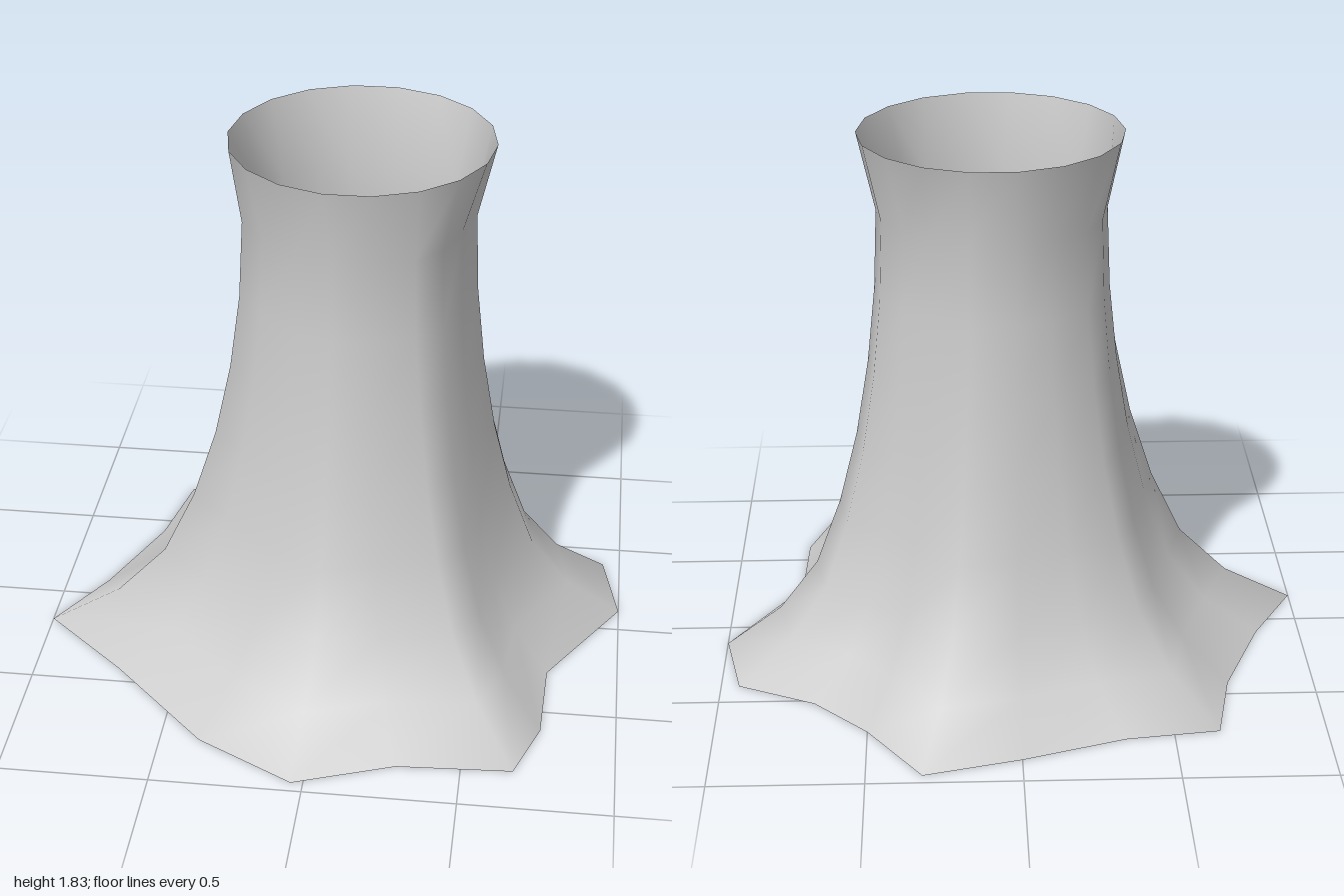
import * as THREE from 'three';

const SIDES = 18;

// Lobed foot outline and narrow throat outline, as matching x, z pairs
const FOOT = [
  [1, -0.11], [0.76, 0.28], [0.75, 0.6], [0.67, 0.82], [0.29, 0.84], [-0.04, 0.96],
  [-0.37, 0.78], [-0.71, 0.43], [-1, 0.17], [-0.85, -0.09], [-0.71, -0.43], [-0.65, -0.73],
  [-0.34, -0.77], [0, -0.88], [0.32, -0.96], [0.5, -0.7], [0.68, -0.52], [0.94, -0.4],
];
const THROAT = [
  [0.45, -0.05], [0.41, 0.08], [0.36, 0.22], [0.28, 0.3], [0.14, 0.34], [0.02, 0.35],
  [-0.1, 0.3], [-0.22, 0.19], [-0.3, 0.09], [-0.305, -0.04], [-0.28, -0.17], [-0.22, -0.29],
  [-0.1, -0.36], [0, -0.4], [0.15, -0.41], [0.28, -0.32], [0.36, -0.25], [0.43, -0.17],
];

// Height of each ring and how far it spreads from throat to foot
const RINGS = [
  [0, 1], [0.13, 0.66], [0.3, 0.42], [0.53, 0.265], [0.78, 0.15],
  [1.04, 0.07], [1.3, 0.02], [1.57, 0],
];

function loft(rings) {
  const index = [];
  for (let j = 0; j < rings.length - 1; j++) {
    for (let i = 0; i < SIDES; i++) {
      const a = j * SIDES + i;
      const b = j * SIDES + (i + 1) % SIDES;
      index.push(a, a + SIDES, b, b, a + SIDES, b + SIDES);
    }
  }
  const geometry = new THREE.BufferGeometry();
  geometry.setAttribute('position', new THREE.Float32BufferAttribute(rings.flat(2), 3));
  geometry.setIndex(index);
  geometry.computeVertexNormals();
  return geometry;
}

export function createModel() {
  const group = new THREE.Group();
  group.name = 'flaredTrunk';

  // Fluted trunk, spreading towards the foot
  const rings = RINGS.map(([y, spread]) => THROAT.map(([x, z], i) => [
    THREE.MathUtils.lerp(x, FOOT[i][0], spread),
    y,
    THREE.MathUtils.lerp(z, FOOT[i][1], spread),
  ]));

  // Round open rim at the top
  rings.push(THROAT.map((_, i) => {
    const angle = i / SIDES * Math.PI * 2;
    return [0.075 + 0.435 * Math.cos(angle), 1.83, -0.035 + 0.435 * Math.sin(angle)];
  }));

  const material = new THREE.MeshStandardMaterial({ color: 0xcccccc, side: THREE.DoubleSide });
  const trunk = new THREE.Mesh(loft(rings), material);
  trunk.name = 'trunk';
  group.add(trunk);
  return group;
}
